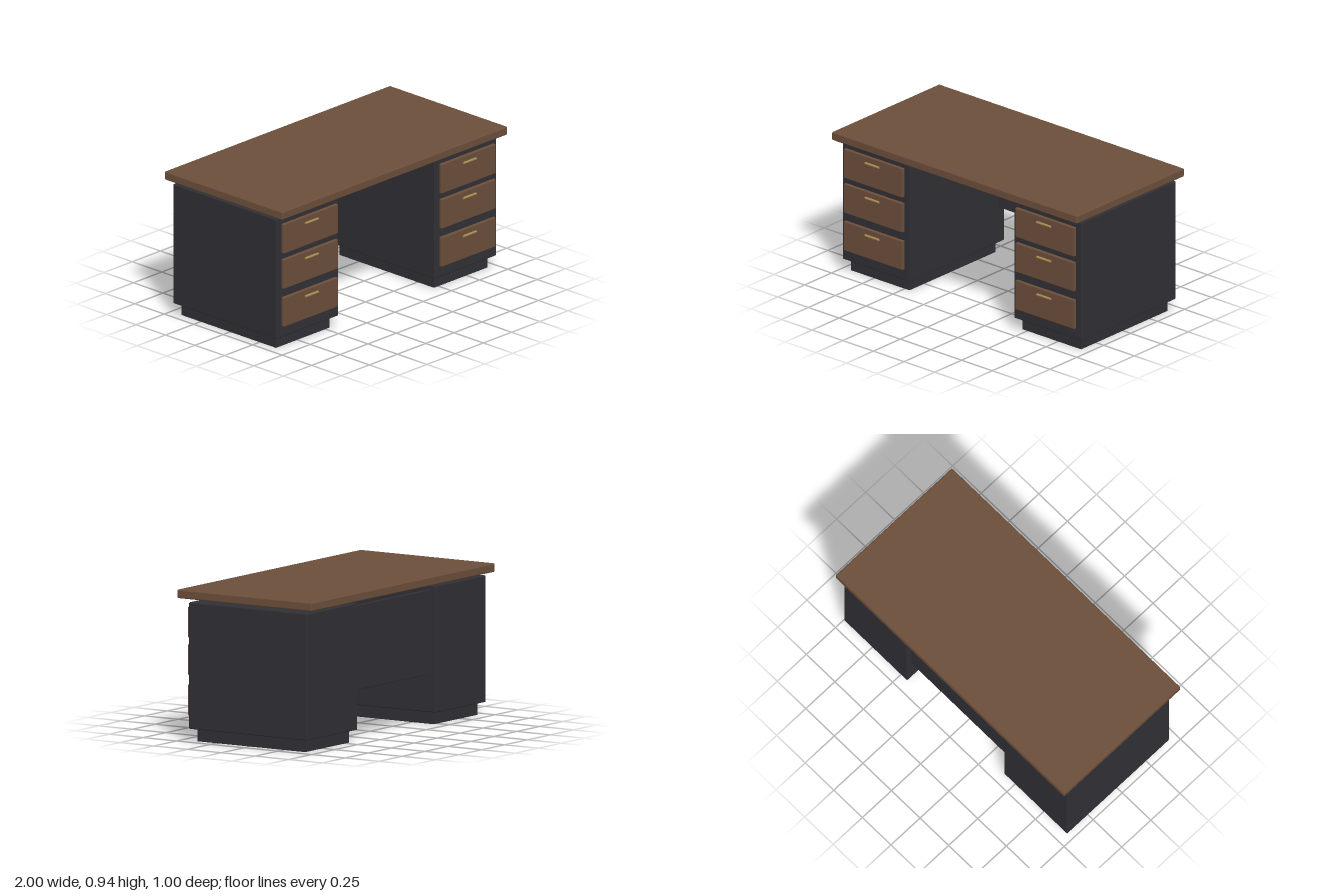
import * as THREE from 'three';
import { RoundedBoxGeometry } from 'three/addons/geometries/RoundedBoxGeometry.js';

const wood = new THREE.MeshStandardMaterial({ name: 'walnut wood', color: 0x6b4e3a });
const dark = new THREE.MeshStandardMaterial({ name: 'charcoal paint', color: 0x2f2f35 });
const brass = new THREE.MeshStandardMaterial({ name: 'brass', color: 0xa68a4e });

// Box given by its extents; a radius above zero softens the edges
function block(name, material, [x0, x1], [y0, y1], [z0, z1], radius = 0) {
  const size = [x1 - x0, y1 - y0, z1 - z0];
  const geometry = radius > 0
    ? new RoundedBoxGeometry(...size, 2, radius)
    : new THREE.BoxGeometry(...size);
  const mesh = new THREE.Mesh(geometry, material);
  mesh.name = name;
  mesh.position.set((x0 + x1) / 2, (y0 + y1) / 2, (z0 + z1) / 2);
  return mesh;
}

// Drawer front with a horizontal bar handle
function createDrawer(name, bottom, handleY) {
  const drawer = new THREE.Group();
  drawer.name = name;
  drawer.add(block('drawerFront', wood, [-0.24, 0.24], [bottom, bottom + 0.193], [0.435, 0.458], 0.005));
  const handle = new THREE.Mesh(new THREE.CylinderGeometry(0.0075, 0.0075, 0.112, 16), brass);
  handle.name = 'drawerHandle';
  handle.rotation.z = Math.PI / 2;
  handle.position.set(0, handleY, 0.465);
  drawer.add(handle);
  return drawer;
}

// Cabinet on a recessed plinth, with three drawers
function createPedestal(name, x) {
  const pedestal = new THREE.Group();
  pedestal.name = name;
  pedestal.position.x = x;
  pedestal.add(block('cabinet', dark, [-0.275, 0.275], [0.078, 0.863], [-0.449, 0.427], 0.006));
  pedestal.add(block('plinth', dark, [-0.238, 0.238], [0, 0.08], [-0.411, 0.389]));
  const rows = [['topDrawer', 0.637, 0.789], ['middleDrawer', 0.405, 0.558], ['bottomDrawer', 0.155, 0.308]];
  for (const row of rows) pedestal.add(createDrawer(...row));
  return pedestal;
}

export function createModel() {
  const desk = new THREE.Group();
  desk.name = 'desk';
  desk.add(block('desktop', wood, [-1, 1], [0.885, 0.939], [-0.499, 0.499], 0.008));
  desk.add(createPedestal('leftPedestal', 0.7), createPedestal('rightPedestal', -0.7));
  // Panel closing the knee space near the back
  desk.add(block('modestyPanel', dark, [-0.43, 0.43], [0.315, 0.84], [-0.412, -0.39], 0.005));
  return desk;
}
